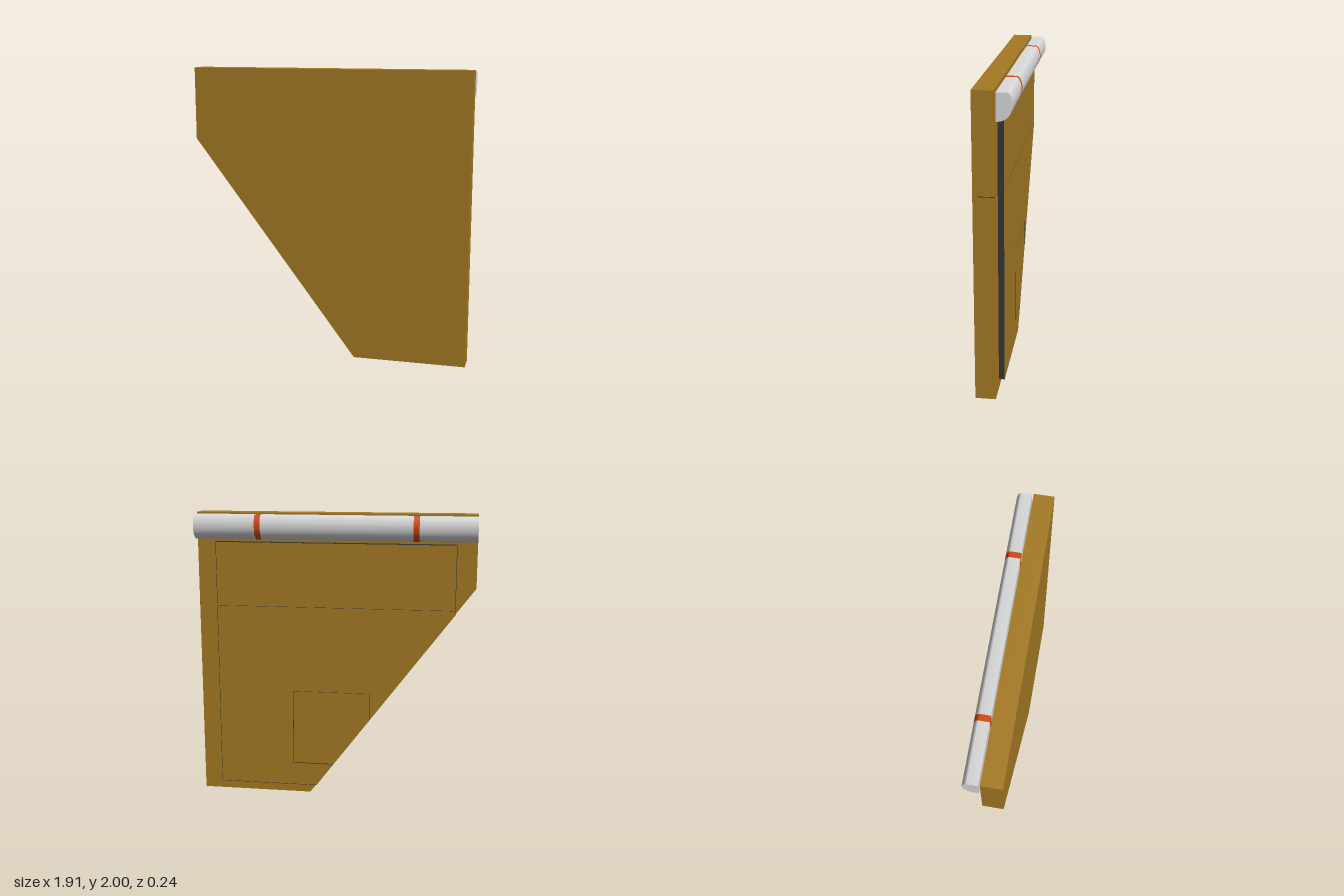
import * as THREE from 'three';
import { toCreasedNormals } from 'three/addons/utils/BufferGeometryUtils.js';

const material = (name, color) => {
  const m = new THREE.MeshStandardMaterial({ color });
  m.name = name;
  return m;
};

export function createModel() {
  const wood = material('ochre board', 0xa67a24);
  const dark = material('dark edging', 0x353535);
  const pale = material('pale roll', 0xdadada);
  const orange = material('orange strap', 0xd24a10);
  const group = new THREE.Group();
  const W = 0.957;

  const add = (name, geometry, mat) => {
    const mesh = new THREE.Mesh(geometry, mat);
    mesh.name = name;
    group.add(mesh);
    return mesh;
  };
  const slab = (name, points, back, front) => {
    const shape = new THREE.Shape(points.map(([x, y]) => new THREE.Vector2(x, y)));
    const g = new THREE.ExtrudeGeometry(shape, { depth: front - back, bevelEnabled: false });
    g.translate(0, 0, back);
    add(name, g, wood);
  };
  const block = (name, x0, x1, y0, y1, z0, z1) => {
    const g = new THREE.BoxGeometry(x1 - x0, y1 - y0, z1 - z0);
    g.translate((x0 + x1) / 2, (y0 + y1) / 2, (z0 + z1) / 2);
    add(name, g, dark);
  };
  // The sloping lower edge, as x for a height and y for a position
  const slopeX = y => 0.18 - y * (W + 0.18) / 1.51;
  const slopeY = x => (0.18 - x) * 1.51 / (W + 0.18);

  // Main board and the raised panel on its back
  slab('board', [[0.18, 0], [W, 0], [W, 2], [-W, 2], [-W, 1.51]], -0.012, 0.12);
  const P = 0.82, low = 0.07, high = 1.8;
  slab('backPanel', [[slopeX(low), low], [P, low], [P, high], [-P, high], [-P, slopeY(-P)]], -0.05, -0.01);

  // Dark edging round the raised panel, leaving the slope bare
  const t = 0.003, z0 = -0.0498, z1 = -0.011;
  block('panelEdgeLeft', P, P + t, low, high, z0, z1);
  block('panelEdgeRight', -P - t, -P, slopeY(-P), high, z0, z1);
  block('panelEdgeTop', -P, P, high, high + t, z0, z1);
  block('panelEdgeBottom', slopeX(low), P, low - t, low, z0, z1);

  // Fine seams: one across the board, one round the square patch
  const s = 0.002;
  block('sideSeam', W - 0.01, W + 0.001, 1.36, 1.36 + s * 2, -0.013, 0.09);
  block('crossSeam', slopeX(1.36) + 0.03, P, 1.36, 1.36 + s, -0.0505, -0.049);
  block('patchSeamLeft', 0.29, 0.29 + s * 2, 0.23, 0.76, -0.051, -0.049);
  block('patchSeamRight', -0.245 - s * 2, -0.245, slopeY(-0.245) + 0.01, 0.76, -0.051, -0.049);
  block('patchSeamTop', -0.245, 0.29, 0.76, 0.76 + s, -0.0505, -0.049);
  block('patchSeamBottom', slopeX(0.23) + 0.005, 0.29, 0.23, 0.23 + s * 2, -0.051, -0.049);

  // Roll with a flat face towards the board, drawn as (distance back, height)
  const profile = new THREE.Shape();
  profile.moveTo(0.022, 1.82);
  profile.bezierCurveTo(0.08, 1.815, 0.12, 1.86, 0.12, 1.92);
  profile.bezierCurveTo(0.12, 1.95, 0.105, 1.988, 0.09, 1.99);
  profile.lineTo(0.022, 1.99);
  profile.closePath();
  const rollPiece = (name, x0, x1, mat) => {
    const g = new THREE.ExtrudeGeometry(profile, { depth: x1 - x0, bevelEnabled: false, curveSegments: 12 });
    g.rotateY(Math.PI / 2);
    g.translate(x0, 0, 0);
    add(name, toCreasedNormals(g, 0.7), mat);
  };
  const stops = [-W, -0.575, -0.535, 0.495, 0.535, W];
  for (let i = 0; i < 5; i++) {
    rollPiece(i % 2 ? 'strap' : 'roll', stops[i], stops[i + 1], i % 2 ? orange : pale);
  }
  // The profile's distance runs towards -z after the turn
  return group;
}
